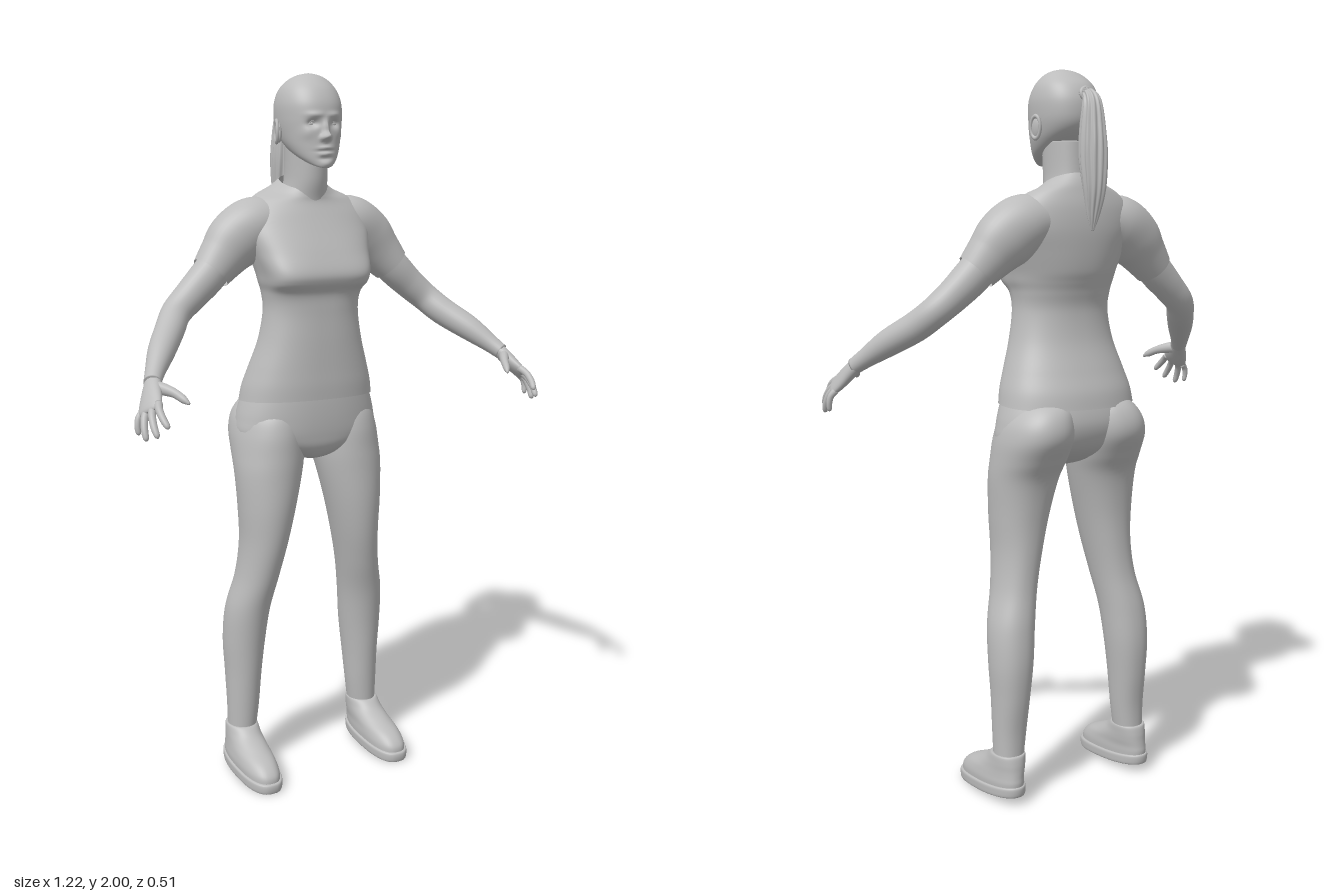
import * as THREE from 'three';

const grey = new THREE.MeshStandardMaterial({ color: 0xbcbcbc });
grey.name = 'plain grey';
const clay = new THREE.MeshStandardMaterial({ color: 0xbcbcbc, side: THREE.DoubleSide });
clay.name = 'plain grey open';

// Smooth value through a list of rows at parameter t in 0..1
function sample(rows, t) {
  const f = t * (rows.length - 1), i = Math.min(Math.floor(f), rows.length - 2), u = f - i;
  const at = k => rows[Math.max(0, Math.min(rows.length - 1, k))];
  return rows[0].map((_, c) => {
    const [a, b, d, e] = [at(i - 1)[c], at(i)[c], at(i + 1)[c], at(i + 2)[c]];
    return b + 0.5 * u * (d - a + u * (2 * a - 5 * b + 4 * d - e + u * (3 * (b - d) + e - a)));
  });
}

// Closed-ring surface from a point rule; capped ends are optional
function skin(rows, cols, point, capped = true) {
  const pos = [], idx = [];
  for (let i = 0; i <= rows; i++)
    for (let j = 0; j < cols; j++) pos.push(...point(i / rows, (j / cols) * Math.PI * 2));
  for (let i = 0; i < rows; i++)
    for (let j = 0; j < cols; j++) {
      const k = (j + 1) % cols, a = i * cols + j, b = i * cols + k, c = a + cols, d = b + cols;
      idx.push(a, c, b, b, c, d);
    }
  if (capped) for (const end of [0, rows]) {
    const mid = [0, 0, 0], o = end * cols, n = pos.length / 3;
    for (let j = 0; j < cols; j++) for (let c = 0; c < 3; c++) mid[c] += pos[(o + j) * 3 + c] / cols;
    pos.push(...mid);
    for (let j = 0; j < cols; j++) {
      const k = (j + 1) % cols;
      if (end) idx.push(n, o + k, o + j); else idx.push(n, o + j, o + k);
    }
  }
  const g = new THREE.BufferGeometry();
  g.setAttribute('position', new THREE.Float32BufferAttribute(pos, 3));
  g.setIndex(idx);
  g.computeVertexNormals();
  return g;
}

// Upright loft; ring = [y, centre x, half width, front z, back z, front squareness, tilt]
function loft(rings, { side = 1, rows = 48, cols = 48, capped = true, shape = p => p } = {}) {
  return skin(rows, cols, (t, a) => {
    const [y, xc, w, zf, zb, n, tilt] = sample(rings, t);
    const c = Math.cos(a), s = Math.sin(a), e = 2 / (s > 0 ? n : 2.2);
    const z = Math.sign(s) * Math.abs(s) ** e * (zf - zb) / 2;
    return shape([side * xc + w * Math.sign(c) * Math.abs(c) ** e, y - tilt * z, (zf + zb) / 2 + z]);
  }, capped);
}

// Limb along a path; row = [x, y, z, radius along ref, radius across]
function limb(path, { side = 1, ref = [0, 0, 1], rows = 28, cols = 20, capped = true, ridge = () => 1 } = {}) {
  const at = t => { const p = sample(path, Math.max(0, Math.min(1, t))); p[0] *= side; return p; };
  return skin(rows, cols, (t, a) => {
    const p = at(t), q0 = at(t - 0.01), q1 = at(t + 0.01);
    const dir = new THREE.Vector3(q1[0] - q0[0], q1[1] - q0[1], q1[2] - q0[2]).normalize();
    const u = new THREE.Vector3(ref[0] * side, ref[1], ref[2]);
    u.addScaledVector(dir, -u.dot(dir)).normalize();
    const v = new THREE.Vector3().crossVectors(u, dir), k = ridge(a, t);
    return new THREE.Vector3(p[0], p[1], p[2])
      .addScaledVector(u, Math.cos(a) * p[3] * k).addScaledVector(v, Math.sin(a) * p[4] * k).toArray();
  }, capped);
}

// Face relief: [x, y, height, spread x, spread y], mirrored across the middle
const relief = [
  [0, 1.833, 0.026, 0.009, 0.011], [0, 1.855, 0.013, 0.007, 0.018], [0.011, 1.829, 0.010, 0.006, 0.006],
  [0.033, 1.866, -0.013, 0.015, 0.010], [0.028, 1.889, 0.005, 0.022, 0.007], [0.05, 1.84, 0.004, 0.016, 0.016],
  [0, 1.802, 0.009, 0.018, 0.005], [0, 1.794, -0.005, 0.022, 0.0025], [0, 1.786, 0.009, 0.015, 0.005],
  [0, 1.774, -0.004, 0.018, 0.005], [0, 1.760, 0.005, 0.016, 0.009],
];
function sculptFace([x, y, z]) {
  const front = THREE.MathUtils.smoothstep(z, -0.05, -0.01);
  let dz = 0;
  for (const [bx, by, h, sx, sy] of relief)
    dz += h * Math.exp(-(((Math.abs(x) - bx) / sx) ** 2) - ((y - by) / sy) ** 2);
  return [x, y, z + dz * front];
}

export function createModel() {
  const model = new THREE.Group();
  const add = (name, geometry, material = grey) => {
    const m = new THREE.Mesh(geometry, material);
    m.name = name;
    model.add(m);
    return m;
  };

  // Head and neck
  add('head', loft([
    [1.768, 0, 0.012, 0.010, -0.03, 2, 0.4], [1.769, 0, 0.036, 0.031, -0.075, 2, 0.38],
    [1.785, 0, 0.058, 0.034, -0.115, 2.1, 0.28], [1.812, 0, 0.073, 0.032, -0.147, 2.2, 0.18],
    [1.845, 0, 0.082, 0.031, -0.166, 2.2, 0.06], [1.88, 0, 0.087, 0.031, -0.174, 2.2, 0],
    [1.92, 0, 0.087, 0.026, -0.172, 2.2, 0], [1.955, 0, 0.077, 0.009, -0.155, 2.1, 0],
    [1.98, 0, 0.057, -0.015, -0.125, 2, 0], [1.994, 0, 0.032, -0.038, -0.098, 2, 0],
    [2.0, 0, 0.004, -0.063, -0.070, 2, 0],
  ], { rows: 96, cols: 112, shape: sculptFace }));
  add('neck', loft([
    [1.62, 0, 0.075, -0.03, -0.17, 2, 0], [1.67, 0, 0.065, -0.025, -0.165, 2, 0.1],
    [1.72, 0, 0.056, -0.012, -0.155, 2, 0], [1.81, 0, 0.056, -0.005, -0.152, 2, 0],
  ]));

  // Ponytail with strand ridges
  add('ponytail', limb([
    [0, 1.925, -0.155, 0.014, 0.014], [0, 1.93, -0.185, 0.014, 0.016], [0, 1.905, -0.208, 0.024, 0.024],
    [0, 1.84, -0.213, 0.034, 0.032], [0, 1.77, -0.216, 0.038, 0.035], [0, 1.69, -0.222, 0.030, 0.029],
    [0, 1.62, -0.217, 0.017, 0.017], [0, 1.575, -0.214, 0.003, 0.003],
  ], { ref: [0, 0.5, 1], rows: 60, cols: 60, ridge: (a, t) => 1 + 0.09 * Math.cos(11 * a + 5 * t) }));
  const band = add('hairBand', new THREE.TorusGeometry(0.015, 0.006, 10, 24));
  band.position.set(0, 1.929, -0.182);
  band.rotation.x = 0.2;

  // Short-sleeved top, open at hem and collar
  add('shirtBody', loft([
    [1.108, 0, 0.199, 0.036, -0.220, 2.4, -0.06], [1.15, 0, 0.192, 0.038, -0.212, 2.4, -0.04],
    [1.20, 0, 0.177, 0.038, -0.192, 2.4, 0], [1.28, 0, 0.152, 0.038, -0.166, 2.4, 0],
    [1.36, 0, 0.138, 0.037, -0.157, 2.5, 0], [1.41, 0, 0.141, 0.040, -0.166, 3, 0],
    [1.44, 0, 0.150, 0.058, -0.176, 4, 0], [1.47, 0, 0.157, 0.062, -0.186, 4, 0],
    [1.52, 0, 0.172, 0.042, -0.194, 3, 0], [1.58, 0, 0.190, 0.012, -0.199, 2.4, 0],
    [1.63, 0, 0.180, -0.010, -0.196, 2.2, 0.06], [1.668, 0, 0.145, -0.024, -0.186, 2, 0.15],
    [1.690, 0, 0.095, -0.026, -0.178, 2, 0.22], [1.708, 0, 0.066, -0.026, -0.168, 2, 0.28],
  ], { rows: 90, cols: 72, capped: false }), clay);

  // Trousers: pelvis, with the legs added below
  add('pelvis', loft([
    [0.932, 0, 0.02, -0.04, -0.09, 2, 0], [0.945, 0, 0.07, -0.005, -0.13, 2, 0],
    [0.975, 0, 0.16, 0.018, -0.178, 2.2, 0], [1.01, 0, 0.212, 0.026, -0.205, 2.3, 0],
    [1.06, 0, 0.211, 0.030, -0.218, 2.3, 0], [1.12, 0, 0.193, 0.030, -0.208, 2.3, 0],
    [1.16, 0, 0.175, 0.026, -0.19, 2.3, 0],
  ]));

  for (const side of [1, -1]) {
    const tag = side > 0 ? 'left' : 'right';

    // Ears: shell with a raised rim
    const ear = add(tag + 'Ear', new THREE.SphereGeometry(1, 20, 14));
    ear.scale.set(0.009, 0.029, 0.017);
    ear.position.set(side * 0.087, 1.845, -0.077);
    ear.rotation.set(-0.15, side * 0.3, 0);
    const rim = add(tag + 'EarRim', new THREE.TorusGeometry(0.024, 0.005, 8, 28));
    rim.scale.set(0.68, 1.2, 1);
    rim.position.set(side * 0.092, 1.846, -0.079);
    rim.rotation.set(0, side * (Math.PI / 2 + 0.3), 0);

    // Eyes with upper lids
    const eye = add(tag + 'Eye', new THREE.SphereGeometry(0.0105, 20, 14));
    eye.scale.set(1.25, 0.75, 0.8);
    eye.position.set(side * 0.033, 1.865, 0.007);
    add(tag + 'EyeLid', limb([
      [0.018, 1.864, 0.012, 0.002, 0.002], [0.026, 1.871, 0.016, 0.003, 0.003],
      [0.036, 1.872, 0.014, 0.003, 0.003], [0.048, 1.865, 0.003, 0.002, 0.002],
    ], { side, rows: 14, cols: 8 }));

    // Sleeve, cuff and arm
    add(tag + 'Sleeve', limb([
      [0.08, 1.605, -0.108, 0.07, 0.06], [0.15, 1.592, -0.109, 0.078, 0.08], [0.208, 1.552, -0.108, 0.069, 0.082],
      [0.25, 1.510, -0.103, 0.058, 0.068], [0.287, 1.470, -0.097, 0.052, 0.056],
    ], { side, cols: 36, capped: false }), clay);
    add(tag + 'Arm', limb([
      [0.25, 1.51, -0.102, 0.047, 0.05], [0.30, 1.458, -0.096, 0.046, 0.05], [0.35, 1.412, -0.091, 0.042, 0.045],
      [0.398, 1.370, -0.078, 0.040, 0.041], [0.435, 1.330, -0.038, 0.040, 0.040],
      [0.485, 1.285, 0.025, 0.036, 0.036], [0.525, 1.243, 0.078, 0.027, 0.026], [0.545, 1.22, 0.108, 0.024, 0.022],
    ], { side, ref: [-0.5, 0.48, 0.72], rows: 40, cols: 28 }));

    // Hand: palm, four fingers, thumb
    const spread = [-0.5, 0.48, 0.72];
    add(tag + 'Palm', limb([
      [0.538, 1.228, 0.097, 0.022, 0.019], [0.552, 1.205, 0.122, 0.029, 0.019],
      [0.566, 1.180, 0.147, 0.036, 0.017], [0.577, 1.162, 0.167, 0.037, 0.013], [0.580, 1.156, 0.173, 0.028, 0.007],
    ], { side, ref: spread, cols: 28 }));
    const tips = [[0.560, 1.128, 0.248], [0.582, 1.103, 0.230], [0.597, 1.090, 0.192], [0.601, 1.098, 0.150]];
    tips.forEach(([x, y, z], i) => {
      const k = 0.028 - i * 0.0187;
      const [kx, ky, kz] = [0.573 - 0.5 * k, 1.167 + 0.48 * k, 0.16 + 0.72 * k];
      const r = i === 3 ? 0.0085 : 0.010;
      const row = (f, s) => [kx + (x - kx) * f + 0.008 * Math.sin(f * Math.PI), ky + (y - ky) * f + 0.006 * Math.sin(f * Math.PI),
        kz + (z - kz) * f, r * s, r * s];
      add(tag + 'Finger' + (i + 1), limb([row(0, 1.1), row(0.35, 1), row(0.7, 0.92), row(0.93, 0.75), row(1, 0.2)],
        { side, ref: spread, rows: 16, cols: 12 }));
    });
    add(tag + 'Thumb', limb([
      [0.550, 1.213, 0.115, 0.018, 0.015], [0.530, 1.208, 0.143, 0.016, 0.014], [0.511, 1.200, 0.173, 0.012, 0.011],
      [0.498, 1.187, 0.200, 0.010, 0.009], [0.490, 1.178, 0.215, 0.003, 0.003],
    ], { side, ref: [0, 1, 0], rows: 20, cols: 14 }));

    // Trouser leg, with the buttock at its top
    add(tag + 'Leg', loft([
      [0.12, 0.205, 0.040, -0.064, -0.155, 2, 0], [0.20, 0.201, 0.046, -0.058, -0.158, 2, 0],
      [0.30, 0.198, 0.052, -0.050, -0.170, 2, 0], [0.40, 0.195, 0.060, -0.040, -0.176, 2, 0],
      [0.50, 0.187, 0.063, -0.024, -0.168, 2, 0], [0.60, 0.166, 0.060, 0.000, -0.152, 2, 0],
      [0.70, 0.150, 0.066, 0.020, -0.148, 2, 0], [0.80, 0.140, 0.080, 0.030, -0.152, 2, 0],
      [0.90, 0.130, 0.095, 0.030, -0.168, 2, 0], [0.96, 0.123, 0.101, 0.028, -0.200, 2, 0],
      [1.02, 0.118, 0.101, 0.024, -0.233, 2, 0], [1.07, 0.112, 0.092, 0.010, -0.232, 2, 0],
      [1.11, 0.100, 0.070, -0.02, -0.205, 2, 0], [1.13, 0.095, 0.03, -0.06, -0.15, 2, 0],
    ], { side, rows: 80 }));

    // Shoe: sole rising towards the heel, upper, collar
    add(tag + 'Sole', loft([
      [0.013, 0.211, 0.046, 0.098, -0.168, 2.6, 0.09], [0.014, 0.211, 0.056, 0.107, -0.176, 2.6, 0.09],
      [0.028, 0.211, 0.058, 0.110, -0.179, 2.6, 0.09], [0.040, 0.211, 0.057, 0.108, -0.178, 2.6, 0.09],
      [0.042, 0.211, 0.048, 0.100, -0.170, 2.6, 0.09],
    ], { side, rows: 16 }));
    add(tag + 'Shoe', loft([
      [0.035, 0.211, 0.052, 0.102, -0.173, 2.6, 0.09], [0.055, 0.211, 0.053, 0.098, -0.174, 2.5, 0.06],
      [0.075, 0.210, 0.051, 0.070, -0.172, 2.3, 0.02], [0.095, 0.208, 0.049, 0.020, -0.170, 2, 0],
      [0.115, 0.207, 0.047, -0.025, -0.168, 2, 0], [0.136, 0.206, 0.045, -0.054, -0.163, 2, 0],
      [0.138, 0.206, 0.039, -0.062, -0.155, 2, 0],
    ], { side, rows: 32 }));
  }
  return model;
}
